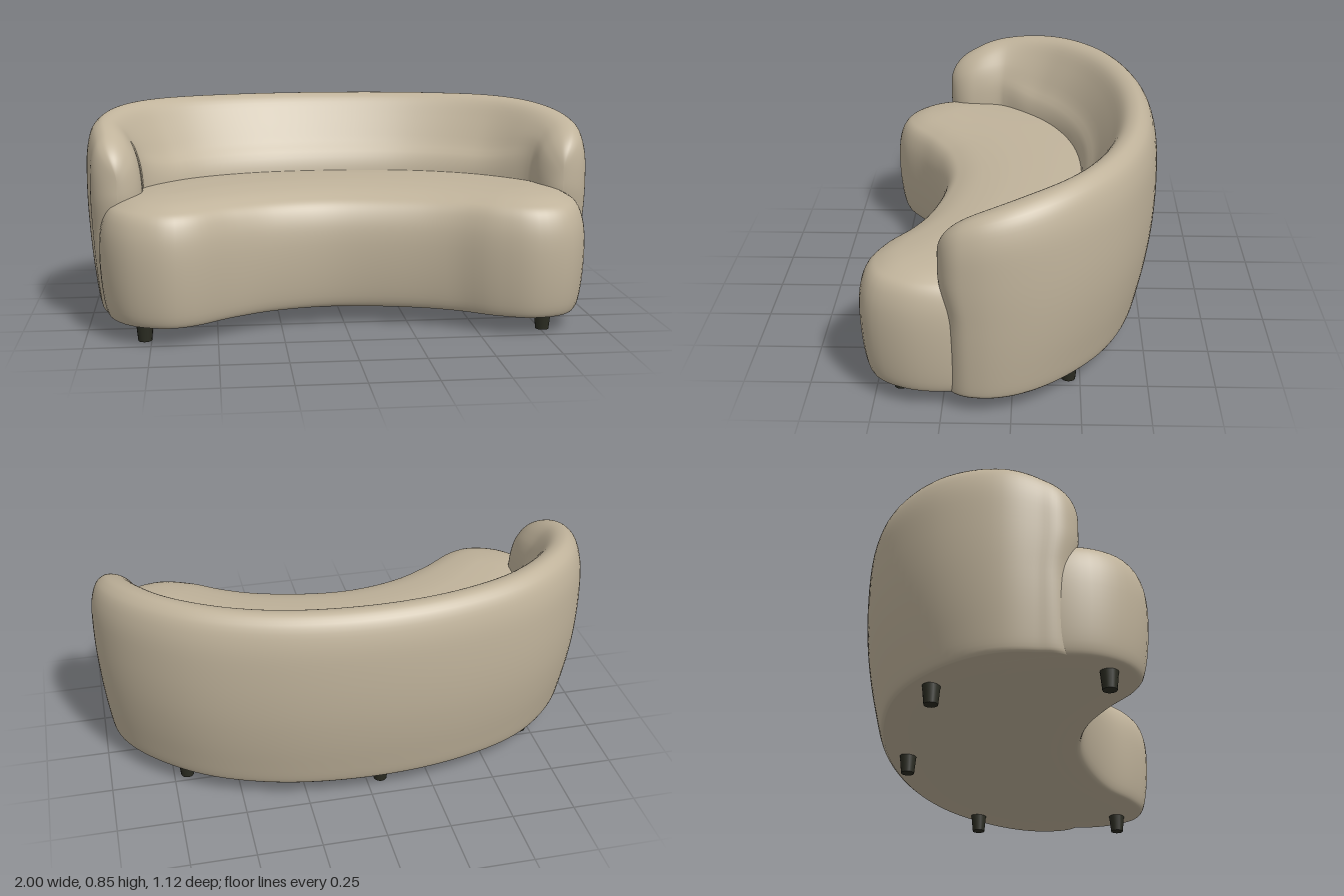
import * as THREE from 'three';

const fabric = new THREE.MeshStandardMaterial({ color: 0xc0b39b });
fabric.name = 'beige fabric';
const darkWood = new THREE.MeshStandardMaterial({ color: 0x2b2c22 });
darkWood.name = 'dark wood';

// Smooth skin over rows of points; every row is a closed loop.
function skin(rows) {
  const n = rows[0].length;
  const index = [];
  for (let i = 0; i < rows.length - 1; i++) {
    for (let j = 0; j < n; j++) {
      const k = (j + 1) % n;
      const a = i * n + j, b = i * n + k, c = a + n, d = b + n;
      index.push(a, b, c, b, d, c);
    }
  }
  const geometry = new THREE.BufferGeometry().setFromPoints(rows.flat());
  geometry.setIndex(index);
  geometry.computeVertexNormals();
  return geometry;
}

const spline = (points, closed = false) => new THREE.CatmullRomCurve3(
  points.map(([x, y, z = 0]) => new THREE.Vector3(x, y, z)), closed);

// Seat: a bean outline drawn in towards its spine, ring by ring.
function seatGeometry() {
  const outline = spline([
    [-0.05, 0, 0.312], [0.2, 0, 0.347], [0.4, 0, 0.412], [0.55, 0, 0.505], [0.7, 0, 0.556],
    [0.84, 0, 0.52], [0.922, 0, 0.4], [0.945, 0, 0.26], [0.915, 0, 0.08], [0.85, 0, -0.11],
    [0.68, 0, -0.3], [0.42, 0, -0.43], [0, 0, -0.48], [-0.42, 0, -0.45], [-0.7, 0, -0.33],
    [-0.86, 0, -0.15], [-0.92, 0, 0.06], [-0.947, 0, 0.27], [-0.917, 0, 0.4], [-0.83, 0, 0.507],
    [-0.69, 0, 0.558], [-0.58, 0, 0.53], [-0.42, 0, 0.42], [-0.25, 0, 0.345],
  ], true).getSpacedPoints(140).slice(0, -1);
  const spine = spline([
    [-0.67, 0, 0.26], [-0.5, 0, 0.1], [-0.25, 0, 0], [0, 0, -0.03],
    [0.25, 0, 0], [0.5, 0, 0.1], [0.68, 0, 0.25],
  ]).getSpacedPoints(200);
  const nearest = outline.map((p) => spine.reduce(
    (best, s) => (s.distanceToSquared(p) < best.distanceToSquared(p) ? s : best)));
  // x = how far in towards the spine (slightly past it, to overlap), y = height
  const profile = spline([
    [1.04, 0.07], [0.5, 0.07], [0.16, 0.07], [0.1, 0.08], [0.055, 0.12], [0.012, 0.22],
    [0, 0.33], [0.02, 0.4], [0.07, 0.453], [0.14, 0.487], [0.25, 0.508], [0.4, 0.525],
    [0.6, 0.536], [0.8, 0.542], [0.95, 0.543], [1.04, 0.543],
  ]).getPoints(60);
  return skin(profile.map((r) => outline.map((p, j) => {
    const q = p.clone().lerp(nearest[j], r.x);
    q.y = r.y;
    return q;
  })));
}

// Backrest: a section swept round the back, lower and rounder at both arm tips.
function backGeometry() {
  // x, half thickness, z
  const path = spline([
    [-0.87, 0.095, 0.325], [-0.878, 0.102, 0.2], [-0.885, 0.116, 0.06], [-0.805, 0.148, -0.1],
    [-0.615, 0.16, -0.27], [-0.34, 0.152, -0.375], [0, 0.15, -0.41], [0.35, 0.15, -0.367],
    [0.62, 0.155, -0.25], [0.8, 0.145, -0.085], [0.882, 0.119, 0.07], [0.872, 0.09, 0.255],
  ]);
  // x from -1 outside to 1 inside, y = height
  const sample = (points) => spline(points).getPoints(64);
  const backSection = sample([
    [-0.45, 0.072], [-0.55, 0.09], [-0.68, 0.17], [-0.85, 0.3], [-0.96, 0.43], [-1, 0.56],
    [-0.97, 0.7], [-0.84, 0.79], [-0.6, 0.837], [-0.35, 0.845], [-0.07, 0.822], [0.23, 0.75],
    [0.6, 0.65], [0.97, 0.55], [1.04, 0.42], [0.97, 0.25], [0.9, 0.072],
  ]);
  const armSection = sample([
    [-0.58, 0.072], [-0.68, 0.09], [-0.79, 0.17], [-0.91, 0.3], [-0.98, 0.43], [-1, 0.56],
    [-0.97, 0.7], [-0.82, 0.79], [-0.52, 0.838], [-0.2, 0.845], [0.15, 0.83], [0.5, 0.79],
    [0.8, 0.72], [0.95, 0.62], [1, 0.45], [0.97, 0.25], [0.9, 0.072],
  ]);
  const length = path.getLength();
  const steps = 110, rows = [];
  for (let i = 0; i <= steps; i++) {
    const u = (1 - Math.cos(Math.PI * i / steps)) / 2;
    const d = Math.min(u, 1 - u) * length;
    const p = path.getPointAt(u);
    const t = path.getTangentAt(u).setY(0).normalize();
    const cap = Math.sqrt(1 - Math.max(0, 1 - d / 0.1) ** 2);
    const top = 0.6 + 0.245 * (1 - Math.max(0, 1 - d / 0.7) ** 2.4) ** (1 / 2.4);
    const blend = THREE.MathUtils.smoothstep(d, 0.1, 0.55);
    const inward = u < 0.5 ? 1 : -1;
    rows.push(armSection.map((arm, j) => {
      const s = arm.clone().lerp(backSection[j], blend);
      const y = s.y < 0.4 ? s.y : 0.4 + (s.y - 0.4) * (top - 0.4) / 0.445;
      const side = s.x * p.y * cap;
      // the tips tuck back below seat height
      const tuck = inward * 0.025 * Math.max(0, 1 - d / 0.3)
        * (1 - THREE.MathUtils.smoothstep(y, 0.36, 0.54));
      return new THREE.Vector3(p.x - t.z * side + t.x * tuck, y, p.z + t.x * side + t.z * tuck);
    }));
  }
  return skin(rows);
}

export function createModel() {
  const sofa = new THREE.Group();
  sofa.name = 'curvedSofa';
  const add = (name, geometry, material) => {
    const mesh = new THREE.Mesh(geometry, material);
    mesh.name = name;
    sofa.add(mesh);
    return mesh;
  };
  add('seat', seatGeometry(), fabric);
  add('backrest', backGeometry(), fabric);

  // Tapered legs
  const leg = new THREE.CylinderGeometry(0.034, 0.026, 0.08, 16);
  const legs = {
    frontLeftLeg: [0.76, 0.41], frontRightLeg: [-0.775, 0.415],
    sideLeftLeg: [0.697, -0.207], sideRightLeg: [-0.712, -0.207], backLeg: [-0.057, -0.4],
  };
  for (const [name, [x, z]] of Object.entries(legs)) {
    add(name, leg, darkWood).position.set(x, 0.04, z);
  }
  return sofa;
}
